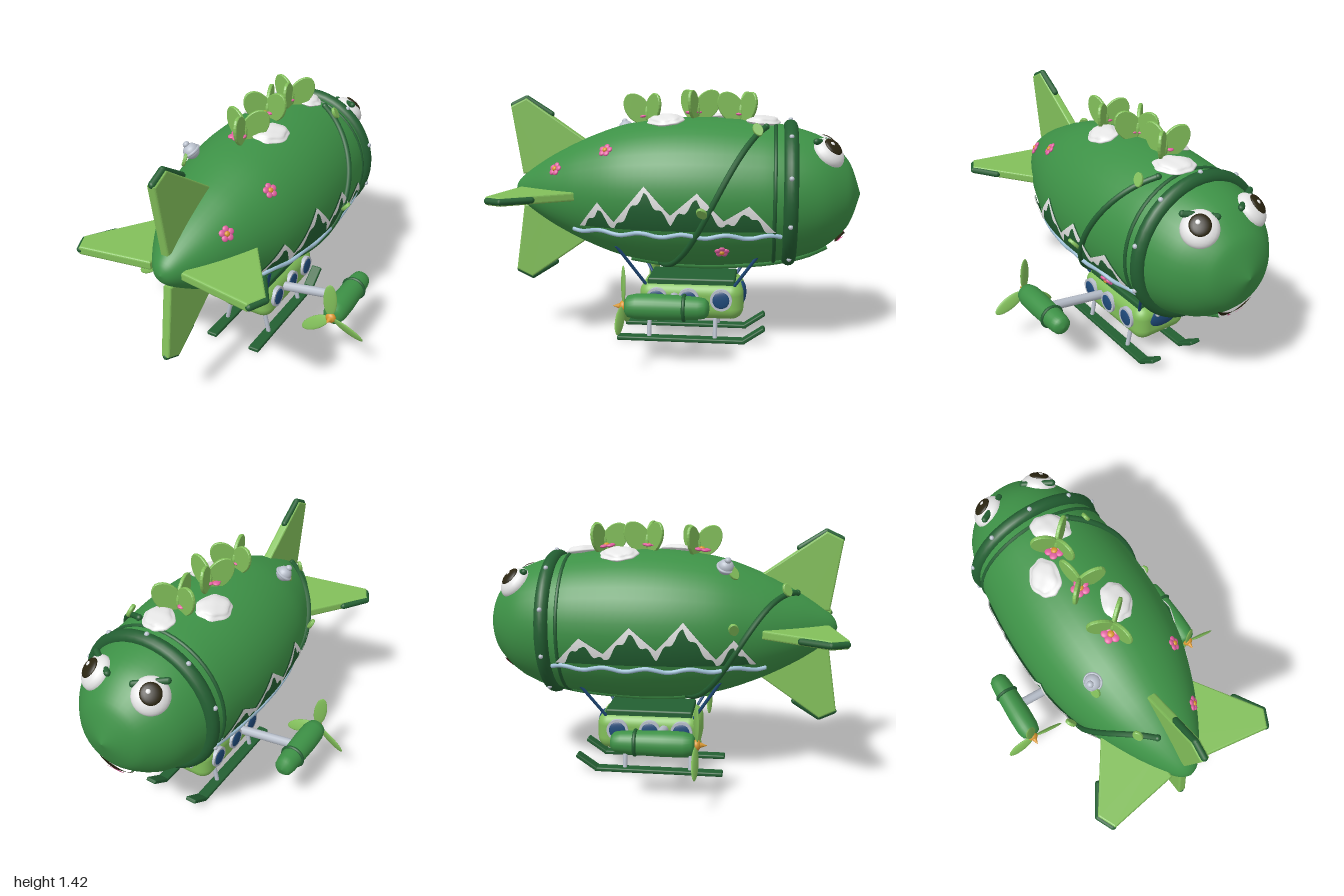
import * as THREE from 'three';
import { RoundedBoxGeometry } from 'three/addons/geometries/RoundedBoxGeometry.js';
import { ParametricGeometry } from 'three/addons/geometries/ParametricGeometry.js';

const mat = (name, color, side = THREE.FrontSide) => new THREE.MeshStandardMaterial({ name, color, side });
const V = (x, y, z) => new THREE.Vector3(x, y, z);
const AXIS = 0.85;

export function createModel() {
  const green = mat('hullGreen', 0x3d9146);
  const dark = mat('darkGreen', 0x235f32, THREE.DoubleSide);
  const light = mat('leafGreen', 0x82bf5a);
  const white = mat('white', 0xe6e6e6, THREE.DoubleSide);
  const grey = mat('metalGrey', 0xb9c0cc);
  const river = mat('riverBlue', 0x9fc0d6);
  const navy = mat('glassNavy', 0x1f4a7a);
  const pink = mat('petalPink', 0xe0609f, THREE.DoubleSide);
  const orange = mat('hubOrange', 0xd8962f);
  const black = mat('pupilBrown', 0x2a2410, THREE.DoubleSide);

  const model = new THREE.Group();
  model.name = 'airship';
  model.position.x = -0.0135;

  const add = (parent, name, geo, material, x = 0, y = 0, z = 0) => {
    const m = new THREE.Mesh(geo, material);
    m.name = name;
    m.position.set(x, y, z);
    parent.add(m);
    return m;
  };
  const ball = (parent, name, material, p, s) => {
    const m = add(parent, name, new THREE.SphereGeometry(1, 20, 14), material, ...p);
    m.scale.set(...s);
    return m;
  };
  const rod = (parent, name, a, b, r, material) => {
    const m = add(parent, name, new THREE.CapsuleGeometry(r, a.distanceTo(b), 4, 10), material);
    m.position.copy(a).lerp(b, 0.5);
    m.quaternion.setFromUnitVectors(V(0, 1, 0), b.clone().sub(a).normalize());
    return m;
  };
  const tube = (name, pts, r, material) =>
    add(model, name, new THREE.TubeGeometry(new THREE.CatmullRomCurve3(pts), pts.length * 3, r, 8), material);

  // Hull: a lathed profile of [z, radius] lying along z
  const profile = new THREE.SplineCurve([[-1, 0], [-0.95, 0.145], [-0.9, 0.22], [-0.8, 0.305], [-0.68, 0.355],
    [-0.53, 0.39], [-0.4, 0.406], [-0.2, 0.421], [0, 0.421], [0.18, 0.405], [0.36, 0.37], [0.54, 0.305],
    [0.66, 0.25], [0.78, 0.185], [0.9, 0.105], [0.96, 0.05], [0.98, 0]]
    .map(([z, r]) => new THREE.Vector2(r, z))).getPoints(64);
  profile.forEach((p) => { p.x = Math.max(p.x, 0); });
  add(model, 'hull', new THREE.LatheGeometry(profile, 40).rotateX(Math.PI / 2), green, 0, AXIS, 0);

  // Surface helpers: phi runs from the top towards +x
  const radius = (z) => {
    const i = Math.max(1, profile.findIndex((p) => p.y >= z));
    const a = profile[i - 1], b = profile[i];
    return a.x + (b.x - a.x) * (z - a.y) / (b.y - a.y);
  };
  const surf = (phi, z, lift = 0) => {
    const r = radius(z) + lift;
    return V(Math.sin(phi) * r, AXIS + Math.cos(phi) * r, z);
  };
  const placed = (name, phi, z, lift = 0) => {
    const g = new THREE.Group();
    g.name = name;
    const slope = (radius(z + 0.02) - radius(z - 0.02)) / 0.04;
    const n = V(Math.sin(phi), Math.cos(phi), -slope).normalize();
    g.position.copy(surf(phi, z)).addScaledVector(n, lift);
    g.lookAt(g.position.clone().add(n));
    model.add(g);
    return g;
  };

  // Neck collar with rivets, thin band, keel
  add(model, 'collar', new THREE.TorusGeometry(0.372, 0.04, 14, 48), dark, 0, AXIS, -0.605);
  add(model, 'thinBand', new THREE.TorusGeometry(0.39, 0.011, 8, 48), dark, 0, AXIS, -0.522);
  for (let i = 0; i < 10; i++) {
    const a = i * Math.PI / 5;
    ball(model, 'rivet', grey, [Math.sin(a) * 0.41, AXIS + Math.cos(a) * 0.41, -0.605], [0.013, 0.013, 0.013]);
  }
  tube('keel', [0.3, 0.1, -0.1, -0.3, -0.5, -0.7, -0.82].map((z) => surf(Math.PI, z, 0.008)), 0.024, green);

  // Four tail fins with dark tip trim
  const finShape = new THREE.Shape([[0.53, 0.26], [0.9, 0.515], [0.982, 0.475], [0.925, 0.1], [0.8, 0.1]]
    .map((p) => new THREE.Vector2(...p)));
  const finGeo = new THREE.ExtrudeGeometry(finShape, { depth: 0.026, bevelSize: 0.01, bevelThickness: 0.011, bevelSegments: 3 })
    .translate(0, 0, -0.013).rotateY(-Math.PI / 2);
  for (let i = 0; i < 4; i++) {
    const fin = new THREE.Group();
    fin.name = 'tailFin';
    fin.position.y = AXIS;
    fin.rotation.z = i * Math.PI / 2;
    add(fin, 'finBlade', finGeo, light);
    rod(fin, 'finTrim', V(0, 0.435, 0.76), V(0, 0.523, 0.9), 0.018, dark);
    rod(fin, 'finTrim', V(0, 0.523, 0.9), V(0, 0.485, 0.98), 0.018, dark);
    model.add(fin);
  }

  // Mountains, snow and river wrapped on both flanks
  const ridge = [[-0.53, 0.69], [-0.39, 0.835], [-0.26, 0.755], [-0.12, 0.9], [0.02, 0.78], [0.16, 0.93], [0.33, 0.73], [0.42, 0.834], [0.54, 0.69]];
  const ridgeY = (z) => {
    const i = Math.max(1, ridge.findIndex((p) => p[0] >= z - 1e-6));
    const [a, b] = [ridge[i - 1], ridge[i]];
    return a[1] + (b[1] - a[1]) * (z - a[0]) / (b[0] - a[0]);
  };
  const flank = (s, y, z, lift) => V(s * (Math.sqrt(Math.max(radius(z) ** 2 - (y - AXIS) ** 2, 0)) + lift), y, z);
  const wrap = (name, s, low, lift, material) => add(model, name, new ParametricGeometry((u, v, t) => {
    const z = -0.53 + 1.07 * u, top = ridgeY(z);
    t.copy(flank(s, THREE.MathUtils.lerp(low(z, top), top, v), z, lift));
  }, 107, 5), material);
  for (const s of [-1, 1]) {
    wrap('mountains', s, () => 0.69, 0.01, dark);
    wrap('snowCaps', s, (z, top) => Math.max(0.69, top - 0.042 - 0.016 * Math.sin(z * 75)), 0.017, white);
    const pts = [];
    for (let i = 0; i <= 24; i++) pts.push(flank(s, 0.662 + 0.01 * Math.sin(i * 1.3), -0.56 + i * 1.15 / 24, 0.008));
    tube('river', pts, 0.012, river);
  }

  // Leaf blade in the xy plane, growing along +y
  const leafGeo = (len, w) => {
    const s = new THREE.Shape();
    s.bezierCurveTo(w, len * 0.15, w * 0.85, len * 0.95, 0, len);
    s.bezierCurveTo(-w * 0.85, len * 0.95, -w, len * 0.15, 0, 0);
    return new THREE.ExtrudeGeometry(s, { depth: 0.01, bevelSize: 0.003, bevelThickness: 0.004, bevelSegments: 1 }).translate(0, 0, -0.005);
  };

  // Spiralling vine with small leaves
  const vinePhi = (z) => (22 + (z + 0.47) * 260) * Math.PI / 180;
  const vine = [];
  for (let i = 0; i <= 30; i++) { const z = -0.47 + i * 1.22 / 30; vine.push(surf(vinePhi(z), z, 0.008)); }
  tube('vine', vine, 0.016, dark);
  for (const p of [vine[0], vine[30]]) ball(model, 'vineEnd', dark, p.toArray(), [0.018, 0.018, 0.018]);
  for (const [phi, z] of [[0.64, -0.44], [1.75, -0.16], [4.75, 0.42], [5.6, 0.7], [5.6, 0.42]]) {
    add(placed('vineLeaf', phi, z, 0.018), 'leaf', leafGeo(0.07, 0.034), light).rotation.set(0.5, 0, 0.4);
  }

  // Flowers
  const flower = (phi, z, lift = 0.006, k = 1) => {
    const g = placed('flower', phi, z, lift);
    for (let i = 0; i < 5; i++) {
      const a = i * Math.PI * 0.4 + 0.3;
      ball(g, 'petal', pink, [Math.cos(a) * 0.024 * k, Math.sin(a) * 0.024 * k, 0], [0.017 * k, 0.017 * k, 0.009]);
    }
    ball(g, 'flowerCentre', orange, [0, 0, 0.006], [0.014 * k, 0.014 * k, 0.01]);
  };
  flower(0.81, 0.39);
  flower(0.95, 0.69);
  flower(2.3, -0.245);

  // Three-leaved sprouts along the back
  const sproutLeaf = leafGeo(0.19, 0.092);
  for (const [x, z, deg] of [[0.005, -0.33, 80], [-0.012, -0.08, 14], [0.005, 0.2, 80]]) {
    const top = AXIS + radius(z) - 0.012;
    for (let i = 0; i < 3; i++) {
      const g = new THREE.Group();
      g.name = 'sproutLeaf';
      g.position.set(x, top, z);
      g.rotation.set(0, -(deg + i * 120) * Math.PI / 180, -0.64, 'YXZ');
      add(g, 'leaf', sproutLeaf, light);
      rod(g, 'midrib', V(0, 0.01, 0), V(0, 0.14, 0), 0.009, dark);
      model.add(g);
    }
    flower(-0.05, z + 0.02, 0.025, 1.25);
  }

  // Lumpy clouds
  const cloudGeo = new THREE.SphereGeometry(1, 32, 20);
  const cp = cloudGeo.attributes.position;
  for (let i = 0; i < cp.count; i++) {
    const p = V().fromBufferAttribute(cp, i);
    p.multiplyScalar(1 + 0.07 * Math.sin(p.x * 6 + 1) * Math.sin(p.y * 6) + 0.05 * Math.cos(p.z * 8));
    cp.setXYZ(i, p.x, p.y, p.z);
  }
  cloudGeo.computeVertexNormals();
  for (const [phi, z] of [[0.1, -0.455], [-0.33, -0.22], [0.25, 0.085]]) {
    add(placed('cloud', phi, z, 0.004), 'cloudPuff', cloudGeo, white).scale.set(0.105, 0.08, 0.03);
  }

  // Round lantern on the back
  const lantern = placed('lantern', -0.56, 0.355, 0.02);
  ball(lantern, 'lanternBall', grey, [0, 0, 0.02], [0.044, 0.044, 0.042]);
  add(lantern, 'lanternRing', new THREE.TorusGeometry(0.043, 0.008, 8, 24), grey, 0, 0, 0.018);
  ball(lantern, 'lanternKnob', grey, [0, 0, 0.065], [0.018, 0.018, 0.016]);

  // Face: eyes, brows, mouth
  for (const s of [-1, 1]) {
    const eye = placed('eye', s * 0.6, -0.81, -0.012);
    ball(eye, 'eyeball', white, [0, 0, 0], [0.096, 0.096, 0.06]);
    ball(eye, 'pupil', black, [0, 0.005, 0.049], [0.054, 0.056, 0.017]);
    ball(eye, 'eyeGlint', white, [-0.012, 0.016, 0.065], [0.012, 0.012, 0.005]);
    rod(model, 'brow', V(s * 0.215, 1.155, -0.735), V(s * 0.075, 1.135, -0.825), 0.017, dark);
  }
  const mouth = placed('mouth', Math.PI, -0.895, 0.012);
  const lip = (name, half, low, high, lift, material) => add(mouth, name, new ParametricGeometry((u, v, t) => {
    const x = (2 * u - 1), k = 1 - x * x;
    t.set(x * half, THREE.MathUtils.lerp(0.03 - low * k, 0.03 - high * k, v), lift - (x * half) ** 2 / 0.42);
  }, 20, 6), material);
  lip('mouthOpening', 0.11, 0.085, 0.012, 0.004, black);
  lip('tongue', 0.055, 0.076, 0.042, 0.011, pink);

  // Gondola
  add(model, 'gondola', new RoundedBoxGeometry(0.34, 0.215, 0.595, 5, 0.07), light, 0, 0.238, -0.062);
  add(model, 'gondolaRoof', new RoundedBoxGeometry(0.28, 0.045, 0.5, 3, 0.012), dark, 0, 0.345, -0.062);
  ball(model, 'windscreen', navy, [0, 0.26, -0.345], [0.115, 0.062, 0.028]);
  for (const s of [-1, 1]) {
    for (const z of [0.13, -0.05, -0.235]) {
      add(model, 'portholeRing', new THREE.CylinderGeometry(0.062, 0.062, 0.024, 28).rotateZ(Math.PI / 2), grey, s * 0.172, 0.257, z);
      ball(model, 'portholeGlass', navy, [s * 0.182, 0.257, z], [0.01, 0.049, 0.049]);
    }
    // Hanging struts
    rod(model, 'strut', V(s * 0.24, 0.57, 0.345), V(s * 0.14, 0.335, 0.2), 0.009, navy);
    rod(model, 'strut', V(s * 0.24, 0.57, -0.465), V(s * 0.14, 0.335, -0.31), 0.009, navy);
    // Landing skids
    for (const z of [0.18, -0.2]) rod(model, 'skidLeg', V(s * 0.115, 0.15, z), V(s * 0.142, 0.025, z), 0.013, grey);
    add(model, 'skid', new RoundedBoxGeometry(0.066, 0.024, 0.74, 2, 0.008), dark, s * 0.142, 0.012, -0.005);
    add(model, 'skidTip', new RoundedBoxGeometry(0.066, 0.024, 0.145, 2, 0.008), dark, s * 0.142, 0.052, -0.42).rotation.x = 0.6;

    // Engine, arm and propeller
    rod(model, 'engineArm', V(s * 0.16, 0.265, 0.03), V(s * 0.54, 0.325, 0.03), 0.027, grey);
    const engine = new THREE.Group();
    engine.name = 'engine';
    engine.position.set(s * 0.566, 0.327, 0);
    model.add(engine);
    const nacelle = [[0, -0.2], [0.035, -0.193], [0.052, -0.175], [0.058, -0.14], [0.063, -0.06], [0.068, 0.08], [0.066, 0.18], [0.055, 0.225], [0.035, 0.238], [0, 0.24]];
    add(engine, 'nacelle', new THREE.LatheGeometry(nacelle.map((p) => new THREE.Vector2(...p)), 28).rotateX(Math.PI / 2), green);
    add(engine, 'nacelleRing', new THREE.TorusGeometry(0.063, 0.01, 8, 28), dark, 0, 0, -0.068);
    for (const deg of [94, 216, 336]) {
      const blade = new THREE.Group();
      blade.name = 'propellerBlade';
      blade.position.z = 0.247;
      blade.rotation.z = (deg - 90) * Math.PI / 180;
      ball(blade, 'blade', light, [0, 0.112, 0], [0.037, 0.1, 0.009]).rotation.y = 0.4;
      engine.add(blade);
    }
    ball(engine, 'hub', orange, [0, 0, 0.247], [0.03, 0.03, 0.022]);
    add(engine, 'hubCone', new THREE.ConeGeometry(0.02, 0.05, 16).rotateX(Math.PI / 2), orange, 0, 0, 0.278);
  }
  return model;
}
